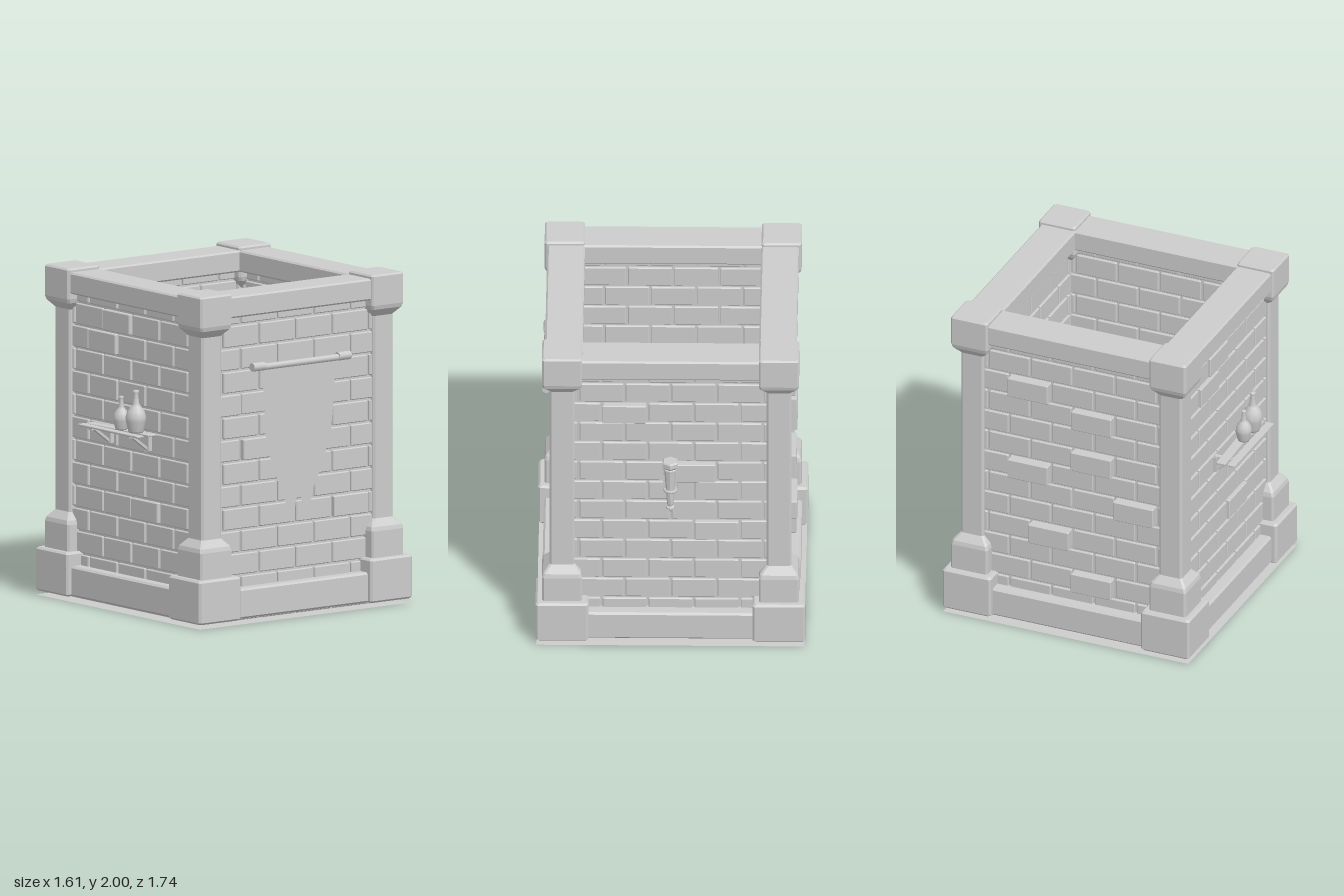
import * as THREE from 'three';
import { mergeGeometries } from 'three/addons/utils/BufferGeometryUtils.js';

const flat = new THREE.MeshStandardMaterial({ color: 0xcccccc, flatShading: true });
const smooth = new THREE.MeshStandardMaterial({ color: 0xcccccc });
const thin = new THREE.MeshStandardMaterial({ color: 0xcccccc, side: THREE.DoubleSide });

function add(parent, name, geometry, x = 0, y = 0, z = 0, material = flat) {
  const mesh = new THREE.Mesh(geometry, material);
  mesh.name = name;
  mesh.position.set(x, y, z);
  parent.add(mesh);
  return mesh;
}

// Stack of rectangles [y, halfX, halfZ] with corners cut by c, closed at both ends
function loft(levels, c) {
  const pos = [], idx = [], n = 8;
  for (const [y, hx, hz] of levels) {
    const loop = [[hx, -hz + c], [hx, hz - c], [hx - c, hz], [-hx + c, hz],
      [-hx, hz - c], [-hx, -hz + c], [-hx + c, -hz], [hx - c, -hz]];
    for (const [x, z] of loop) pos.push(x, y, z);
  }
  for (let k = 0; k < levels.length - 1; k++) {
    for (let i = 0; i < n; i++) {
      const a = k * n + i, b = k * n + (i + 1) % n;
      idx.push(a, a + n, b, b, a + n, b + n);
    }
  }
  const top = (levels.length - 1) * n;
  for (let i = 1; i < n - 1; i++) idx.push(0, i, i + 1, top, top + i + 1, top + i);
  const g = new THREE.BufferGeometry();
  g.setAttribute('position', new THREE.Float32BufferAttribute(pos, 3));
  g.setIndex(idx);
  const out = g.toNonIndexed();
  out.computeVertexNormals();
  return out;
}

function bevelBox(w, h, d, b) {
  const x = w / 2, y = h / 2, z = d / 2;
  return loft([[-y, x - b, z - b], [-y + b, x, z], [y - b, x, z], [y, x - b, z - b]], b);
}

const lathe = (points, segments) =>
  new THREE.LatheGeometry(points.map(([r, y]) => new THREE.Vector2(r, y)), segments);

// Brick courses in running bond, facing local +z; "raised" lists [course, x, extra depth]
function brickWall(raised) {
  const wall = new THREE.Group(), bricks = [];
  const pitch = 0.275, gap = 0.013, end = 0.585;
  for (let j = 0; j < 14; j++) {
    const start = j % 2 ? -0.6875 : -0.825;
    for (let i = 0; i < 6; i++) {
      const x0 = Math.max(start + i * pitch + gap / 2, -end);
      const x1 = Math.min(start + (i + 1) * pitch - gap / 2, end);
      if (x1 - x0 < 0.02) continue;
      const hit = raised.find(([row, x]) => row === j && x > x0 && x < x1);
      const depth = 0.12 + (hit ? hit[2] : 0);
      const g = bevelBox(x1 - x0, 0.125, depth, 0.005);
      g.translate((x0 + x1) / 2, 0.0695 + j * 0.138, 0.58 + depth / 2);
      bricks.push(g);
    }
  }
  add(wall, 'bricks', mergeGeometries(bricks));
  add(wall, 'mortar', new THREE.BoxGeometry(1.2, 1.93, 0.09), 0, 0.967, 0.64);
  return wall;
}

function corner() {
  const g = new THREE.Group();
  add(g, 'cornerBlock', bevelBox(0.315, 0.265, 0.315, 0.012), 0, 0.158, 0);
  const profile = [[0.28, 0.12], [0.45, 0.12], [0.475, 0.113], [0.52, 0.074], [1.745, 0.074],
    [1.79, 0.113], [1.815, 0.12], [1.99, 0.12], [2, 0.11]];
  add(g, 'cornerPost', loft(profile.map(([y, h]) => [y, h, h]), 0.012));
  return g;
}

function makeTower() {
  const tower = new THREE.Group();
  tower.name = 'tower';
  const raised = [
    [[11, -0.28, 0.012], [4, 0.13, 0.012], [12, -0.13, 0.012], [2, -0.28, 0.012]],
    [[7, -0.3, 0.02], [9, -0.42, 0.012], [4, 0.4, 0.012]],
    [[11, -0.3, 0.03], [8, 0.2, 0.03], [5, 0.3, 0.015]],
    [[11, -0.24, 0.045], [10, 0.11, 0.04], [8, 0.12, 0.045], [7, -0.24, 0.048],
      [6, 0.39, 0.045], [4, -0.12, 0.05], [2, 0.12, 0.045]],
  ];
  ['front', 'left', 'back', 'right'].forEach((side, i) => {
    const s = new THREE.Group();
    s.name = side + 'Side';
    s.rotation.y = i * Math.PI / 2;
    const wall = brickWall(raised[i]);
    wall.name = 'brickWall';
    s.add(wall);
    add(s, 'baseBeam', bevelBox(1.1, 0.182, 0.25, 0.012), 0, 0.117, 0.645);
    add(s, 'topBeam', bevelBox(1.1, 0.13, 0.225, 0.01), 0, 1.913, 0.638);
    const post = corner();
    post.name = 'corner';
    post.position.set(0.647, 0, 0.647);
    s.add(post);
    tower.add(s);
  });
  // Thin ground plate and the studded plank floor
  const plate = add(tower, 'groundPlate', new THREE.PlaneGeometry(1.6, 1.6), 0, 0, 0, thin);
  plate.rotation.x = -Math.PI / 2;
  const stud = new THREE.SphereGeometry(0.034, 16, 6, 0, Math.PI * 2, 0, Math.PI / 2);
  const washer = new THREE.CylinderGeometry(0.042, 0.042, 0.006, 20);
  for (let r = -2; r <= 2; r++) {
    const z = r * 0.205 - 0.01;
    add(tower, 'floorPlank', bevelBox(1.07, 0.05, 0.185, 0.012), 0, 0.03, z);
    for (let c = -2; c <= 2; c++) {
      add(tower, 'floorStud', stud, c * 0.198, 0.057, z, smooth);
      add(tower, 'studRim', washer, c * 0.198, 0.057, z, smooth);
    }
  }
  return tower;
}

function makeBanner() {
  const g = new THREE.Group();
  g.name = 'banner';
  // Outline as [z, y], with a forked lower end
  const outline = [[0.265, 1.52], [0.252, 1.29], [0.235, 1.06], [0.175, 0.89], [0.127, 0.79], [0.075, 0.655],
    [0.045, 0.555], [0.025, 0.62], [-0.01, 0.78], [-0.045, 0.62], [-0.065, 0.555], [-0.09, 0.65],
    [-0.127, 0.77], [-0.185, 0.89], [-0.25, 1.06], [-0.275, 1.29], [-0.287, 1.52]];
  const shape = new THREE.Shape(outline.map(([z, y]) => new THREE.Vector2(-z, y)));
  const cloth = add(g, 'bannerCloth', new THREE.ShapeGeometry(shape), 0.728, 0, 0, thin);
  cloth.rotation.y = Math.PI / 2;
  const pole = add(g, 'bannerPole', new THREE.CylinderGeometry(0.02, 0.02, 0.62, 12), 0.745, 1.53, -0.012, smooth);
  pole.rotation.x = Math.PI / 2;
  for (const s of [-1, 1]) {
    const cap = add(g, 'poleEnd', new THREE.CylinderGeometry(0.026, 0.026, 0.09, 12), 0.745, 1.535, -0.012 + s * 0.322, smooth);
    cap.rotation.x = Math.PI / 2;
  }
  return g;
}

function makeShelf() {
  const g = new THREE.Group();
  g.name = 'shelf';
  add(g, 'shelfBoard', bevelBox(0.58, 0.013, 0.05, 0.003), -0.003, 1.102, 0.842);
  const inner = add(g, 'shelfBoard', bevelBox(0.58, 0.013, 0.06, 0.003), -0.003, 1.102, 0.765);
  inner.rotation.y = 0.04;
  for (const x of [-0.19, 0.18]) {
    add(g, 'bracketBar', new THREE.BoxGeometry(0.03, 0.012, 0.16), x, 1.088, 0.775);
    add(g, 'bracketPlate', new THREE.BoxGeometry(0.045, 0.095, 0.03), x, 1.04, 0.7);
    const strut = add(g, 'bracketStrut', new THREE.BoxGeometry(0.024, 0.016, 0.14), x, 1.045, 0.765);
    strut.rotation.x = -0.65;
  }
  const bottle = [[0, 0], [0.042, 0], [0.047, 0.012], [0.06, 0.07], [0.062, 0.095], [0.052, 0.13], [0.03, 0.16],
    [0.02, 0.175], [0.013, 0.235], [0.018, 0.24], [0.017, 0.256], [0, 0.256]];
  add(g, 'largeBottle', lathe(bottle, 10), 0.165, 1.108, 0.782, smooth);
  add(g, 'smallBottle', lathe(bottle, 10), 0.027, 1.108, 0.785, smooth).scale.set(0.8, 0.79, 0.8);
  return g;
}

function makeTorch() {
  const g = new THREE.Group();
  g.name = 'torch';
  const handle = [[0, 0.955], [0.012, 0.98], [0.026, 0.985], [0.026, 0.997], [0.016, 1.003], [0.02, 1.02],
    [0.028, 1.14], [0.036, 1.25], [0.042, 1.255], [0.042, 1.265], [0.03, 1.272], [0, 1.272]];
  add(g, 'torchHandle', lathe(handle, 8), 0, 0, -0.82);
  const head = [[0, 1.268], [0.036, 1.268], [0.052, 1.285], [0.052, 1.312], [0.044, 1.32], [0, 1.32]];
  add(g, 'torchHead', lathe(head, 6), 0, 0, -0.82).rotation.y = 0;
  const ring = add(g, 'torchRing', new THREE.TorusGeometry(0.033, 0.01, 6, 14), 0, 1.115, -0.82, smooth);
  ring.rotation.x = Math.PI / 2;
  add(g, 'torchArm', new THREE.BoxGeometry(0.022, 0.018, 0.09), 0, 1.115, -0.745);
  const plate = add(g, 'torchWallPlate', new THREE.CylinderGeometry(0.05, 0.05, 0.05, 6), 0, 1.115, -0.72);
  plate.rotation.x = Math.PI / 2;
  plate.scale.z = 2.1;
  return g;
}

export function createModel() {
  const model = new THREE.Group();
  const tower = makeTower();
  tower.position.z = -0.01;
  model.add(tower, makeBanner(), makeShelf(), makeTorch());
  return model;
}
